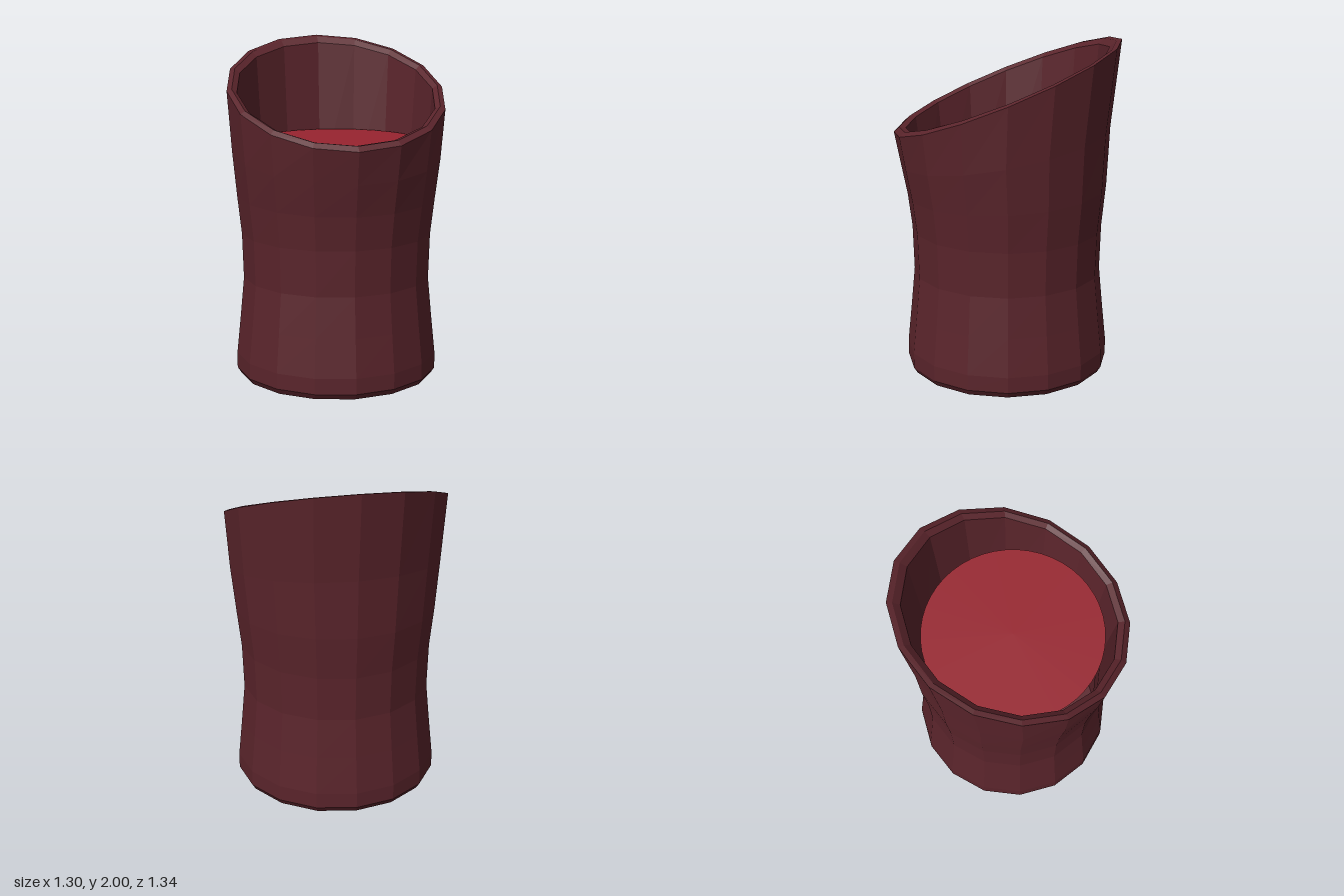
import * as THREE from 'three';

const SIDES = 16;

// Loft 16-sided rings; each ring is [radiusX, radiusZ, shiftZ, height, tilt]
function loft(rings) {
  const positions = [];
  const index = [];
  for (const [rx, rz, dz, h, tilt] of rings) {
    for (let j = 0; j < SIDES; j++) {
      const a = (j / SIDES) * Math.PI * 2;
      const s = Math.sin(a);
      positions.push(rx * Math.cos(a), h - tilt * rz * s, dz + rz * s);
    }
  }
  for (let i = 0; i < rings.length - 1; i++) {
    for (let j = 0; j < SIDES; j++) {
      const a = i * SIDES + j;
      const c = i * SIDES + ((j + 1) % SIDES);
      index.push(a, a + SIDES, c, c, a + SIDES, c + SIDES);
    }
  }
  const geometry = new THREE.BufferGeometry();
  geometry.setAttribute('position', new THREE.Float32BufferAttribute(positions, 3));
  geometry.setIndex(index);
  const flat = geometry.toNonIndexed();
  flat.computeVertexNormals();
  return flat;
}

const round = (r, h, tilt = 0) => [r, r, 0, h, tilt];

export function createModel() {
  const group = new THREE.Group();
  group.name = 'slantedCup';

  const shell = new THREE.MeshStandardMaterial({ color: 0x5a242b, flatShading: true });
  const fluid = new THREE.MeshStandardMaterial({ color: 0x98242f, side: THREE.DoubleSide });

  const add = (name, geometry, material) => {
    const mesh = new THREE.Mesh(geometry, material);
    mesh.name = name;
    group.add(mesh);
    return mesh;
  };

  const outerLip = [0.65, 0.672, 0, 1.725, 0.409];
  const rimOuter = [0.62, 0.64, 0, 1.735, 0.4];
  const rimInner = [0.59, 0.6, 0, 1.715, 0.4];

  // Waisted outer wall with a closed, bevelled foot
  add('outerWall', loft([
    round(0.0001, 0),
    round(0.59, 0),
    round(0.612, 0.035),
    round(0.612, 0.13),
    round(0.588, 0.36),
    round(0.565, 0.6),
    round(0.573, 0.87),
    round(0.598, 1.1, 0.05),
    [0.625, 0.625, 0.01, 1.37, 0.18],
    outerLip,
  ]), shell);

  // Slanted rim
  add('rim', loft([outerLip, rimOuter, rimInner]), shell);

  // Inner wall down to a floor
  add('innerWall', loft([
    rimInner,
    round(0.535, 1.0, 0.05),
    round(0.525, 0.6),
    round(0.54, 0.1),
    round(0.0001, 0.1),
  ]), shell);

  // Level surface of the drink
  const surface = new THREE.CircleGeometry(0.532, 48).rotateX(-Math.PI / 2);
  add('liquidSurface', surface, fluid).position.y = 1.41;

  return group;
}
